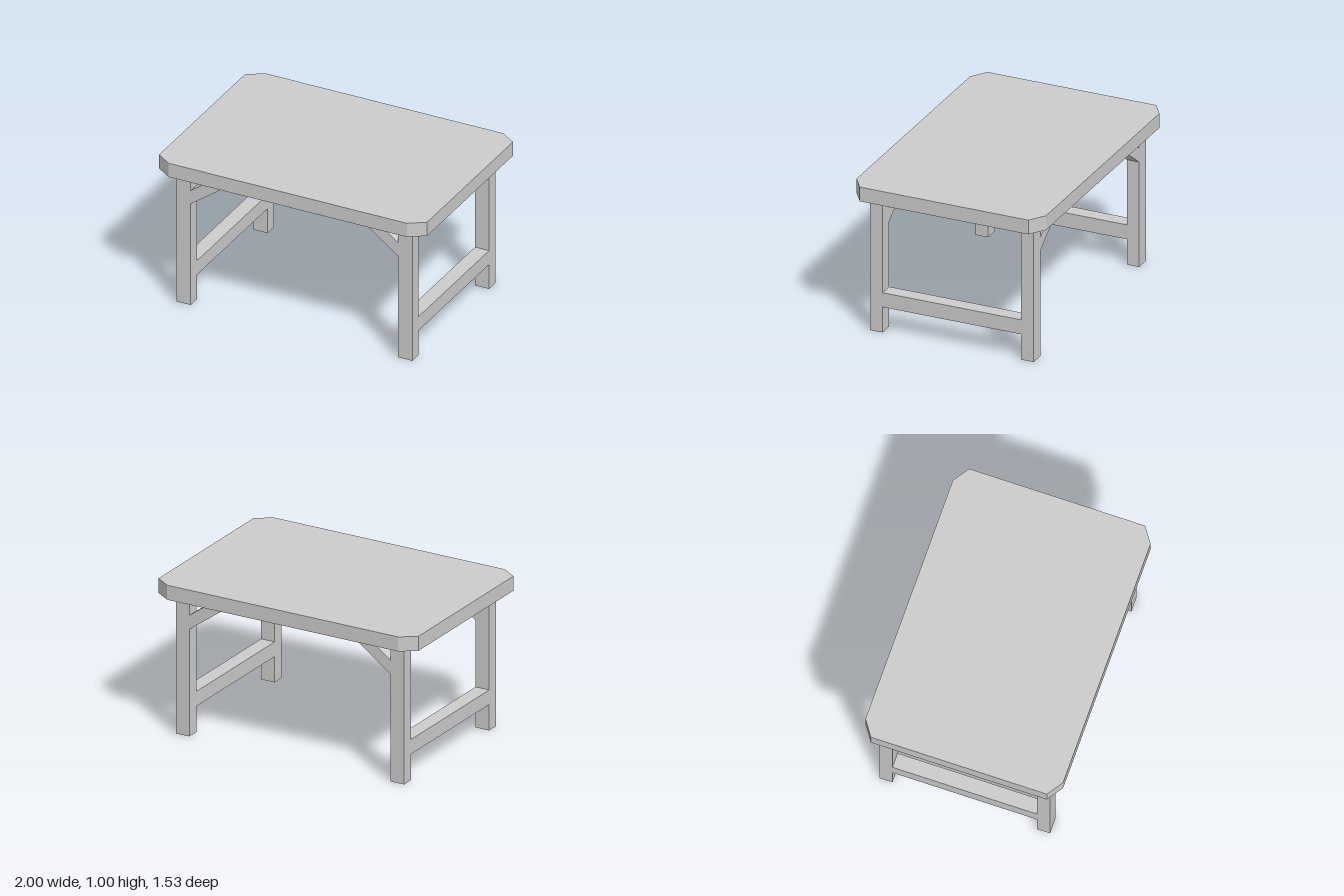
import * as THREE from 'three';

const material = new THREE.MeshStandardMaterial({
  color: 0xcccccc, flatShading: true, side: THREE.DoubleSide,
});

const TOP_Y = 0.997, RIM_Y = 0.902;    // table top and the lower edge of its rim
const LEG_X = 0.756, LEG_Z = 0.505;    // leg centres
const LEG_W = 0.096, LEG_D = 0.083;    // leg section
const LEG_TOP = 0.98;                  // legs end inside the hollow top
const RAIL_LOW = 0.169, RAIL_HIGH = 0.265;

function addMesh(parent, name, geometry) {
  const mesh = new THREE.Mesh(geometry, material);
  mesh.name = name;
  parent.add(mesh);
  return mesh;
}

function polygon(points) {
  return new THREE.Shape(points.map(([x, y]) => new THREE.Vector2(x, y)));
}

// Leaves out a run of vertices of an unindexed geometry, to open a side
function without(source, start, end) {
  const p = Array.from(source.attributes.position.array);
  p.splice(start * 3, (end - start) * 3);
  const open = new THREE.BufferGeometry();
  open.setAttribute('position', new THREE.Float32BufferAttribute(p, 3));
  open.computeVertexNormals();
  return open;
}

export function createModel() {
  const model = new THREE.Group();
  model.name = 'table';
  const table = new THREE.Group();
  table.name = 'turnedTable';
  table.rotation.y = -THREE.MathUtils.degToRad(10);
  model.add(table);

  // Hollow top with clipped corners, open underneath
  const hx = 0.915, hz = 0.633, cx = 0.102, cz = 0.069;
  const slab = new THREE.ExtrudeGeometry(polygon([
    [hx, -hz + cz], [hx, hz - cz], [hx - cx, hz], [-hx + cx, hz],
    [-hx, hz - cz], [-hx, -hz + cz], [-hx + cx, -hz], [hx - cx, -hz],
  ]), { depth: TOP_Y - RIM_Y, bevelEnabled: false });
  slab.rotateX(-Math.PI / 2);
  addMesh(table, 'tableTop', without(slab, 0, slab.groups[0].count / 2)).position.y = RIM_Y;

  // Posts are open at both ends; rails are open below and where they meet the posts
  const legGeometry = without(
    new THREE.BoxGeometry(LEG_W, LEG_TOP, LEG_D).toNonIndexed(), 12, 24);
  const railGeometry = without(
    new THREE.BoxGeometry(LEG_W, RAIL_HIGH - RAIL_LOW, 2 * LEG_Z - LEG_D).toNonIndexed(), 18, 36);

  const inner = LEG_X - LEG_W / 2;
  for (const sx of [-1, 1]) {
    // Diagonal brace from the post's inner face up into the hollow top
    const braceGeometry = new THREE.ExtrudeGeometry(polygon([
      [sx * inner, 0.70], [sx * inner, 0.792],
      [sx * (inner - 0.257), 0.978], [sx * (inner - 0.332), 0.941],
    ]), { depth: LEG_D, bevelEnabled: false });

    for (const sz of [-1, 1]) {
      addMesh(table, 'leg', legGeometry).position.set(sx * LEG_X, LEG_TOP / 2, sz * LEG_Z);
      addMesh(table, 'brace', braceGeometry).position.z = sz * LEG_Z - LEG_D / 2;
    }

    // Rail joining the two legs of each end
    addMesh(table, 'endRail', railGeometry)
      .position.set(sx * LEG_X, (RAIL_LOW + RAIL_HIGH) / 2, 0);
  }
  return model;
}
